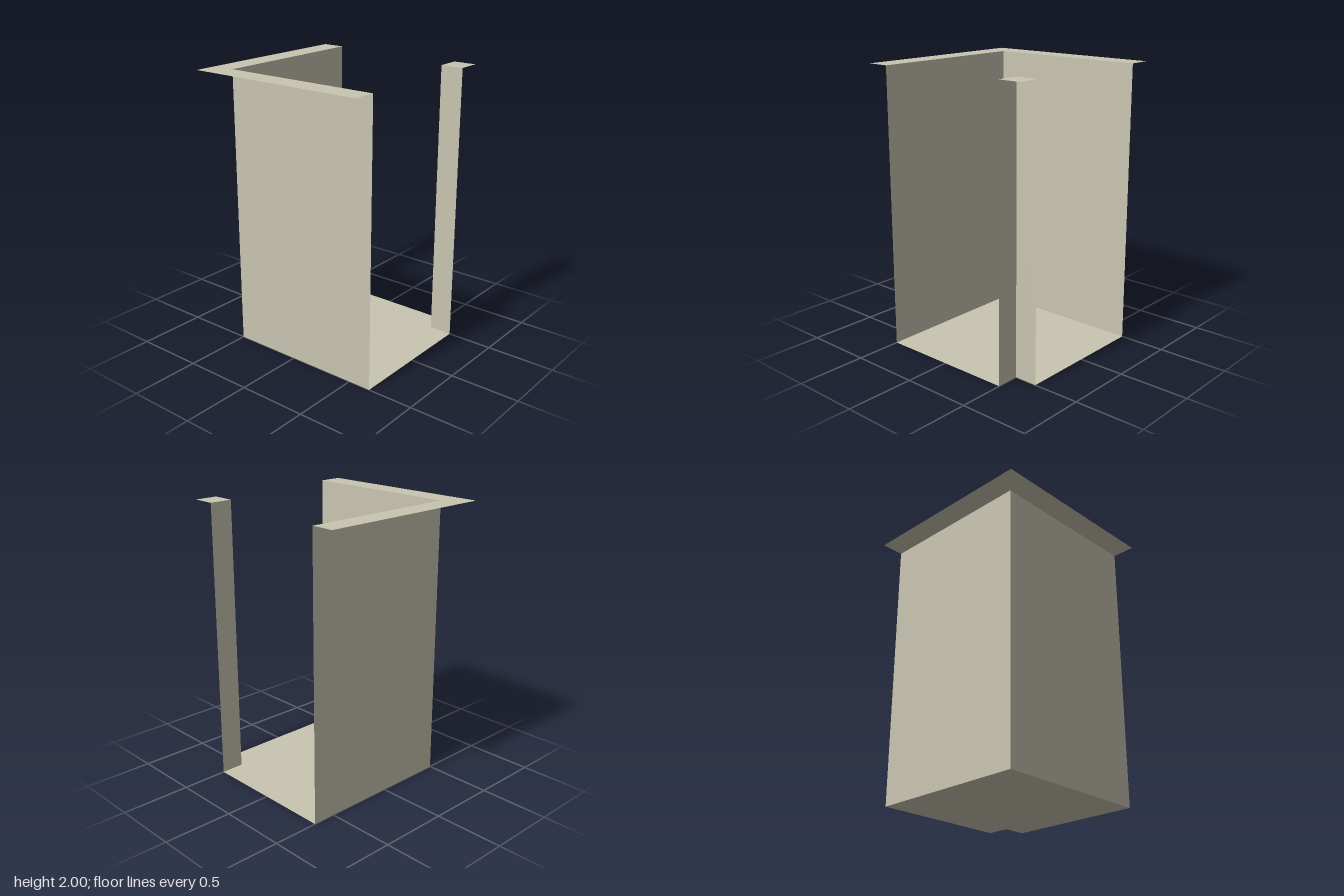
import * as THREE from 'three';

const HEIGHT = 2;
const INNER = 0.5; // wall planes
const OUTER = 0.667; // tile edge

export function createModel() {
  const group = new THREE.Group();
  const stone = new THREE.MeshStandardMaterial({ color: 0xc9c5b1, side: THREE.DoubleSide });
  stone.name = 'paleStone';

  function add(name, geometry) {
    const mesh = new THREE.Mesh(geometry, stone);
    mesh.name = name;
    group.add(mesh);
    return mesh;
  }

  // Flat upward-facing sheet from an outline of [x, z] points
  function sheet(name, y, outline) {
    const shape = new THREE.Shape(outline.map(([x, z]) => new THREE.Vector2(x, -z)));
    add(name, new THREE.ShapeGeometry(shape).rotateX(-Math.PI / 2)).position.y = y;
  }

  // Full-height upright sheet between two floor points
  function wall(name, [x0, z0], [x1, z1]) {
    const length = Math.hypot(x1 - x0, z1 - z0);
    const mesh = add(name, new THREE.PlaneGeometry(length, HEIGHT));
    mesh.position.set((x0 + x1) / 2, HEIGHT / 2, (z0 + z1) / 2);
    mesh.rotation.y = -Math.atan2(z1 - z0, x1 - x0);
  }

  // Sunken floor with the corner pillar's footprint left out
  sheet('floor', 0, [
    [-INNER, -INNER], [OUTER, -INNER], [OUTER, INNER],
    [INNER, INNER], [INNER, OUTER], [-INNER, OUTER],
  ]);

  // L-shaped ledge along the back and right sides
  sheet('topLedge', HEIGHT, [
    [-OUTER, -OUTER], [OUTER, -OUTER], [OUTER, -INNER],
    [-INNER, -INNER], [-INNER, OUTER], [-OUTER, OUTER],
  ]);

  // Small cap on the corner pillar
  sheet('pillarCap', HEIGHT, [
    [INNER, INNER], [OUTER, INNER], [OUTER, OUTER], [INNER, OUTER],
  ]);

  // Long walls below the ledge
  wall('backWall', [-INNER, -INNER], [OUTER, -INNER]);
  wall('sideWall', [-INNER, OUTER], [-INNER, -INNER]);

  // Two inner faces of the corner pillar
  wall('pillarBackFace', [OUTER, INNER], [INNER, INNER]);
  wall('pillarSideFace', [INNER, INNER], [INNER, OUTER]);

  return group;
}
